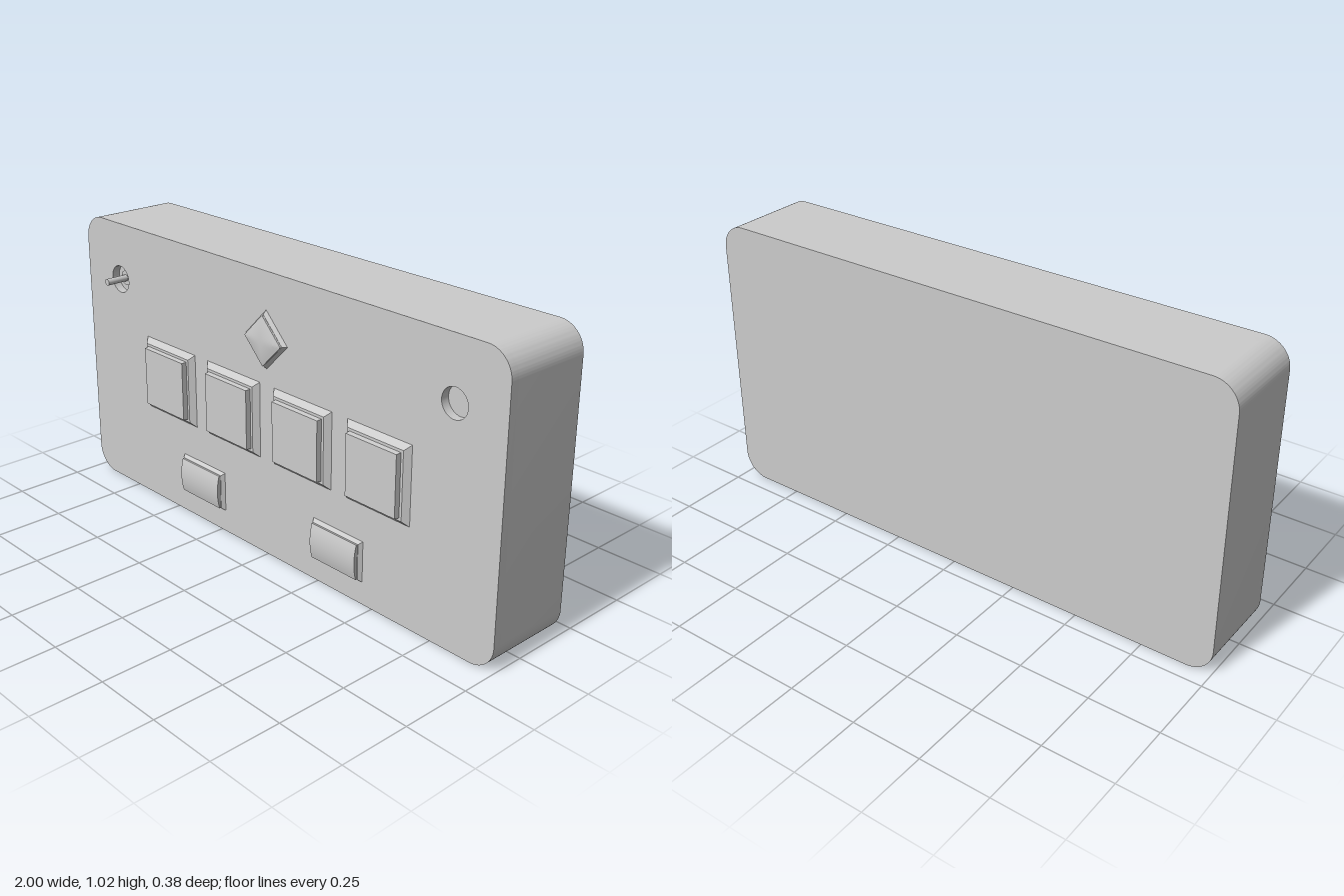
import * as THREE from 'three';
import { toCreasedNormals } from 'three/addons/utils/BufferGeometryUtils.js';

const FRONT = 0.13, BACK = -0.19, HEIGHT = 1.02, RECESS = 0.03;
const material = new THREE.MeshStandardMaterial({ color: 0xcccccc });

function part(name, geometry, parent, x = 0, y = 0, z = 0) {
  const mesh = new THREE.Mesh(geometry, material);
  mesh.name = name;
  mesh.position.set(x, y, z);
  parent.add(mesh);
  return mesh;
}

function roundedOutline(w, h, r) {
  const s = new THREE.Shape(), x = w / 2;
  s.absarc(x - r, r, r, -Math.PI / 2, 0);
  s.absarc(x - r, h - r, r, 0, Math.PI / 2);
  s.absarc(r - x, h - r, r, Math.PI / 2, Math.PI);
  s.absarc(r - x, r, r, Math.PI, Math.PI * 1.5);
  s.closePath();
  return s;
}

function slab(shape, depth) {
  const g = new THREE.ExtrudeGeometry(shape, { depth, bevelEnabled: false, curveSegments: 16 });
  return toCreasedNormals(g, 0.5);
}

// Box standing on z = 0 whose front face is inset on every side
function taperedBox(w, h, d, inset) {
  const g = new THREE.BoxGeometry(w, h, d).translate(0, 0, d / 2);
  const p = g.attributes.position;
  for (let i = 0; i < p.count; i++) {
    if (p.getZ(i) < d / 2) continue;
    p.setX(i, p.getX(i) - Math.sign(p.getX(i)) * inset);
    p.setY(i, p.getY(i) - Math.sign(p.getY(i)) * inset);
  }
  g.computeVertexNormals();
  return g;
}

// Box whose front face arches along y, or along both axes as a vault
function archedBox(w, h, d, rise, vault) {
  const g = new THREE.BoxGeometry(w, h, d, 12, 12, 1).translate(0, 0, d / 2);
  const p = g.attributes.position;
  for (let i = 0; i < p.count; i++) {
    if (p.getZ(i) < d / 2) continue;
    const u = vault ? Math.abs(p.getX(i)) / (w / 2) : 0;
    const t = Math.max(u, Math.abs(p.getY(i)) / (h / 2));
    p.setZ(i, d + rise * (1 - t * t));
  }
  return toCreasedNormals(g, 0.3);
}

function button(name, x, y, bezel, cap, capBase) {
  const g = new THREE.Group();
  g.name = name;
  g.position.set(x, y, FRONT);
  part(name + 'Bezel', bezel, g);
  part(name + 'Cap', cap, g, 0, 0, capBase);
  return g;
}

export function createModel() {
  const model = new THREE.Group();
  model.name = 'controlPanel';

  // Case: solid back plus a front plate pierced by two round recesses
  const floor = FRONT - RECESS;
  part('caseBack', slab(roundedOutline(2, HEIGHT, 0.09), floor - BACK), model, 0, 0, BACK);
  const plate = roundedOutline(2, HEIGHT, 0.09);
  for (const x of [-0.805, 0.805]) {
    plate.holes.push(new THREE.Path().absarc(x, 0.81, 0.05, 0, Math.PI * 2, true));
  }
  part('caseFront', slab(plate, RECESS), model, 0, 0, floor);

  // Pin and collar in the right-hand recess
  const rod = (r, length) =>
    new THREE.CylinderGeometry(r, r, length, 24).rotateX(Math.PI / 2).translate(0, 0, length / 2);
  part('pinCollar', rod(0.027, 0.006), model, -0.805, 0.81, floor);
  part('pin', rod(0.012, 0.09), model, -0.805, 0.81, floor);

  // Row of four square buttons
  for (const x of [-0.515, -0.172, 0.172, 0.515]) {
    model.add(button('squareButton', x, 0.493,
      taperedBox(0.273, 0.273, 0.019, 0.018), taperedBox(0.218, 0.218, 0.018, 0.002), 0.019));
  }

  // Two arched rectangular buttons
  for (const x of [-0.342, 0.342]) {
    model.add(button('rectangularButton', x, 0.155,
      taperedBox(0.228, 0.146, 0.013, 0.009), archedBox(0.206, 0.126, 0.006, 0.009, false), 0.013));
  }

  // Diamond button with a vaulted cap
  const diamond = button('diamondButton', 0, 0.788,
    taperedBox(0.144, 0.144, 0.013, 0.009), archedBox(0.124, 0.124, 0.006, 0.009, true), 0.013);
  diamond.rotation.z = Math.PI / 4;
  model.add(diamond);

  return model;
}
